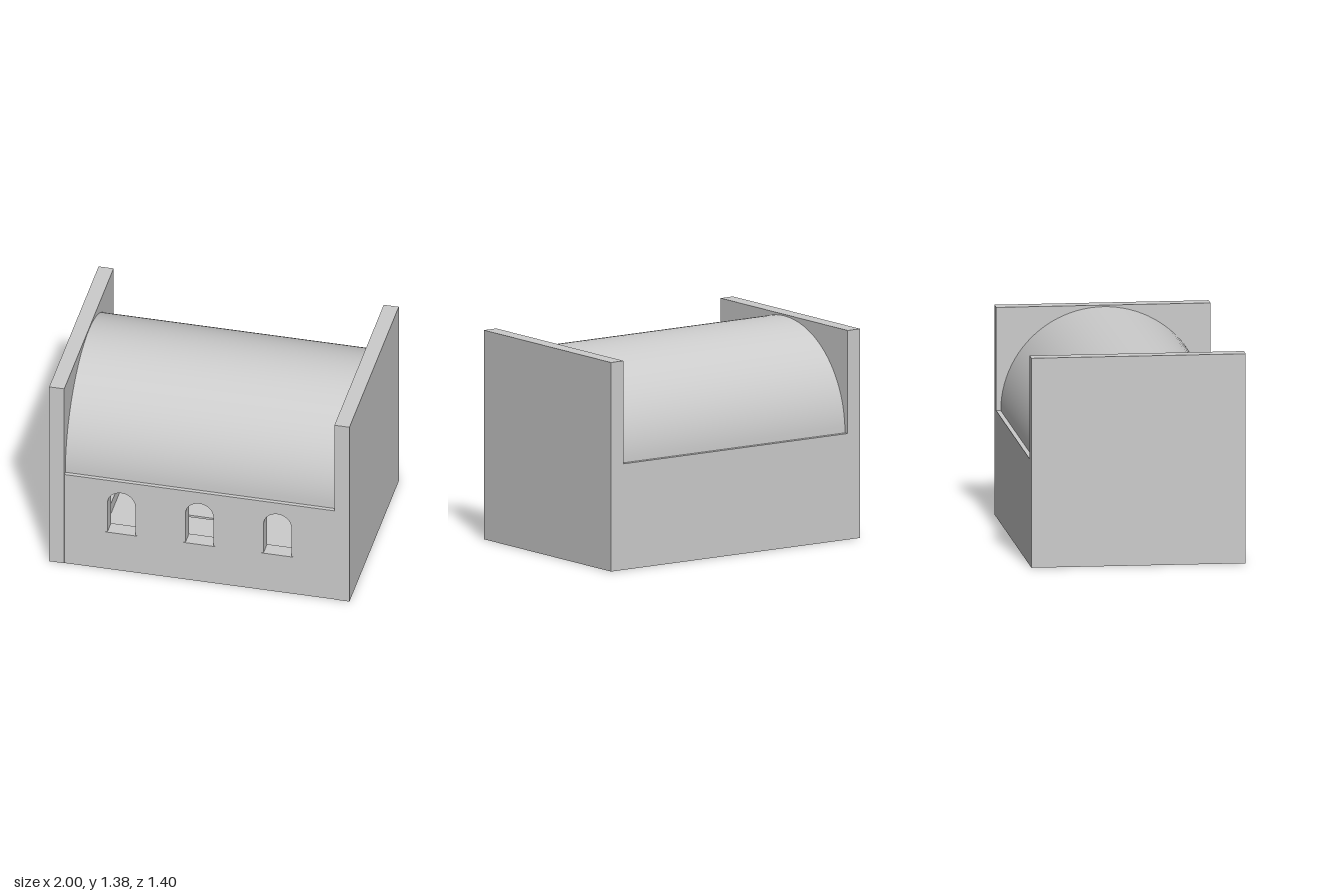
import * as THREE from 'three';
import { toCreasedNormals } from 'three/addons/utils/BufferGeometryUtils.js';

const stone = new THREE.MeshStandardMaterial({ color: 0xcccccc });
stone.name = 'plain grey';

function add(parent, name, geometry) {
  const mesh = new THREE.Mesh(geometry, stone);
  mesh.name = name;
  parent.add(mesh);
  return mesh;
}

// Box given by its min and max corners
function box(parent, name, [x0, y0, z0], [x1, y1, z1]) {
  const g = new THREE.BoxGeometry(x1 - x0, y1 - y0, z1 - z0);
  g.translate((x0 + x1) / 2, (y0 + y1) / 2, (z0 + z1) / 2);
  return add(parent, name, g);
}

function subgroup(parent, name) {
  const g = new THREE.Group();
  g.name = name;
  parent.add(g);
  return g;
}

const WINDOWS = [-0.52, 0, 0.52];
const EAVES = 0.7;

function frontWall(parent) {
  const s = new THREE.Shape();
  s.moveTo(-0.9, 0).lineTo(0.9, 0).lineTo(0.9, EAVES).lineTo(-0.9, EAVES).closePath();
  const r = 0.0925;
  for (const x of WINDOWS) {
    const h = new THREE.Path();
    h.moveTo(x - r, 0.293).lineTo(x + r, 0.293).lineTo(x + r, 0.52);
    h.absarc(x, 0.52, r, 0, Math.PI, false);
    h.closePath();
    s.holes.push(h);
  }
  const g = new THREE.ExtrudeGeometry(s, { depth: 0.1, bevelEnabled: false, curveSegments: 16 });
  g.translate(0, 0, 0.597);
  add(parent, 'frontWall', toCreasedNormals(g, 0.5));
}

// Half-round shell spanning between the end walls
function vault(parent) {
  const profile = [[0.6, -0.9], [0.67, -0.9], [0.67, 0.9], [0.6, 0.9], [0.6, -0.9]]
    .map(([r, y]) => new THREE.Vector2(r, y));
  const g = new THREE.LatheGeometry(profile, 48, 0, Math.PI);
  g.rotateZ(Math.PI / 2);
  g.translate(0, EAVES, 0);
  add(parent, 'vaultedRoof', toCreasedNormals(g, 0.5));
}

// Shelves along the back wall, filled with upright books
function bookcase(parent, x0, x1) {
  const c = subgroup(parent, 'bookcase');
  const z0 = -0.6, z1 = -0.48;
  let seed = 7;
  const rand = () => (seed = (seed * 16807) % 2147483647) / 2147483647;
  for (const x of [x0, x1]) box(c, 'bookcaseSide', [x - 0.006, 0.04, z0], [x + 0.006, 0.52, z1]);
  for (let i = 0; i < 6; i++) {
    const y = 0.05 + i * 0.093;
    box(c, 'shelf', [x0, y - 0.005, z0], [x1, y + 0.005, z1]);
    if (i === 5) continue;
    let x = x0 + 0.01;
    while (x < x1 - 0.04) {
      const w = 0.012 + rand() * 0.018;
      if (rand() < 0.85) box(c, 'book', [x, y, z0], [x + w, y + 0.05 + rand() * 0.03, z1 - 0.01 - rand() * 0.02]);
      x += w + 0.001;
    }
  }
}

// Reading table on two pedestals
function table(parent) {
  const t = subgroup(parent, 'table');
  box(t, 'tableTop', [-0.35, 0.19, 0.05], [0.25, 0.205, 0.27]);
  for (const x of [-0.27, 0.17]) {
    const leg = add(t, 'pedestal', new THREE.CylinderGeometry(0.02, 0.03, 0.15, 16));
    leg.position.set(x, 0.115, 0.16);
  }
}

// Low seat with a back rest against the left-hand end
function bench(parent) {
  const b = subgroup(parent, 'bench');
  box(b, 'benchSeat', [-0.9, 0.04, -0.2], [-0.72, 0.12, 0.3]);
  box(b, 'benchBack', [-0.9, 0.12, -0.2], [-0.85, 0.2, 0.3]);
}

export function createModel() {
  const model = new THREE.Group();
  model.name = 'vaultedLibrary';

  for (const s of [-1, 1]) {
    const wall = add(model, 'endWall', new THREE.BoxGeometry(0.1, 1.38, 1.4));
    wall.position.set(s * 0.95, 0.69, 0);
  }
  box(model, 'floor', [-0.9, 0, -0.6], [0.9, 0.04, 0.6]);
  box(model, 'backWall', [-0.9, 0, -0.7], [0.9, EAVES, -0.6]);
  frontWall(model);
  vault(model);

  // Thin sills under the windows
  for (const x of WINDOWS) box(model, 'windowSill', [x - 0.105, 0.283, 0.6], [x + 0.105, 0.294, 0.703]);

  bookcase(model, -0.9, 0.3);
  table(model);
  bench(model);
  return model;
}
